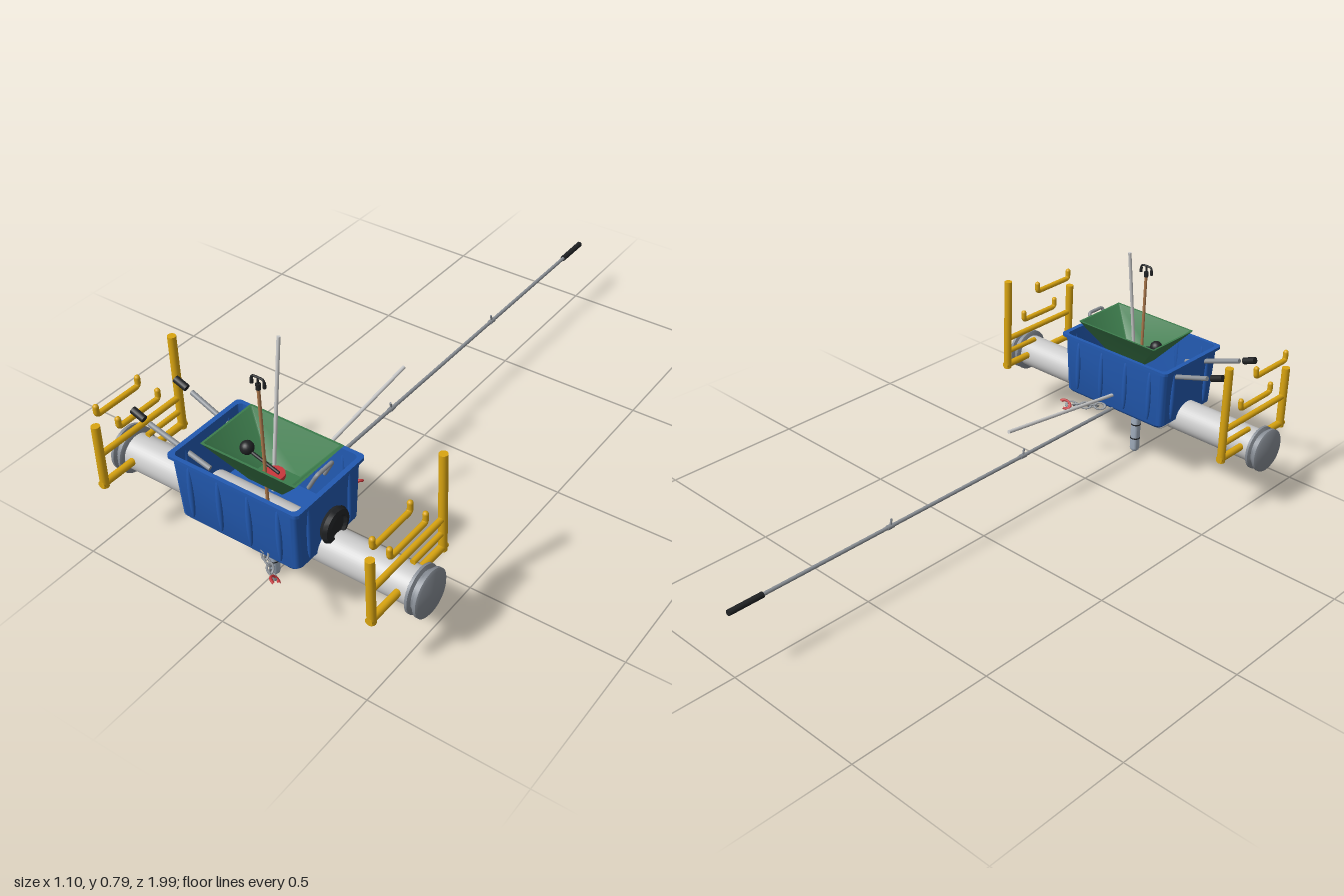
import * as THREE from 'three';
import { toCreasedNormals } from 'three/addons/utils/BufferGeometryUtils.js';

const V = (x, y, z) => new THREE.Vector3(x, y, z);
const mat = (color, side = THREE.FrontSide) => new THREE.MeshStandardMaterial({ color, side });
const grey = mat(0xcccccc), blue = mat(0x2259b0), green = mat(0x3c7c4c, THREE.DoubleSide);
const yellow = mat(0xdaa510), black = mat(0x202224), steel = mat(0x8b9096), paleBlue = mat(0xa5b2c2);
const red = mat(0xc8383c), copper = mat(0xa9764a), flangeGrey = mat(0x868c94);
const CZ = 0.767; // z of the main pipe axis

function add(parent, name, geo, material, x = 0, y = 0, z = 0) {
  const m = new THREE.Mesh(geo, material);
  m.name = name;
  m.position.set(x, y, z);
  parent.add(m);
  return m;
}

// Straight round bar between two points
function rod(parent, name, a, b, r, material) {
  const d = b.clone().sub(a);
  const m = add(parent, name, new THREE.CylinderGeometry(r, r, d.length(), 16), material);
  m.position.copy(a).addScaledVector(d, 0.5);
  m.quaternion.setFromUnitVectors(V(0, 1, 0), d.normalize());
  return m;
}

// Bent round bar through corner points
function bentBar(parent, name, pts, r, material, closed = false) {
  const path = new THREE.CurvePath();
  const n = pts.length, corner = 0.012;
  const toward = (a, b) => a.clone().addScaledVector(b.clone().sub(a).normalize(), corner);
  let last = closed ? toward(pts[0], pts[1]) : pts[0];
  const first = last;
  for (let i = 1; i < (closed ? n + 1 : n - 1); i++) {
    const p = pts[i % n], before = toward(p, pts[i - 1]), after = toward(p, pts[(i + 1) % n]);
    path.add(new THREE.LineCurve3(last, before));
    path.add(new THREE.QuadraticBezierCurve3(before, p, after));
    last = after;
  }
  if (!closed) path.add(new THREE.LineCurve3(last, pts[n - 1]));
  else last.copy(first);
  add(parent, name, new THREE.TubeGeometry(path, 64, r, 10, closed), material);
  if (!closed) for (const p of [pts[0], pts[n - 1]]) add(parent, name + 'End', new THREE.SphereGeometry(r, 10, 8), material, p.x, p.y, p.z);
}

// Skin over rounded rectangles, each given as [halfX, halfZ, y, cornerRadius]
function loft(rings) {
  const pos = [], idx = [], seg = 6, n = 4 * (seg + 1);
  for (const [hx, hz, y, r] of rings) {
    for (let q = 0; q < 4; q++) for (let s = 0; s <= seg; s++) {
      const t = (q + s / seg) * Math.PI / 2;
      const sx = q === 0 || q === 3 ? 1 : -1, sz = q < 2 ? 1 : -1;
      pos.push(sx * (hx - r) + r * Math.cos(t), y, sz * (hz - r) + r * Math.sin(t));
    }
  }
  for (let i = 0; i < rings.length - 1; i++) for (let j = 0; j < n; j++) {
    const k = (j + 1) % n, a = i * n + j, b = i * n + k, c = b + n, d = a + n;
    idx.push(a, d, c, a, c, b);
  }
  const g = new THREE.BufferGeometry();
  g.setAttribute('position', new THREE.Float32BufferAttribute(pos, 3));
  g.setIndex(idx);
  return toCreasedNormals(g, 0.6);
}

function lathe(points, segments = 40) {
  return toCreasedNormals(new THREE.LatheGeometry(points.map(([r, y]) => new THREE.Vector2(r, y)), segments), 0.6);
}

// Storage rack at one end of the pipe
function rack(x) {
  const g = new THREE.Group();
  g.name = 'rack';
  const P = (y, z) => V(x, y, z);
  rod(g, 'rearPost', P(0.22, 0.607), P(0.558, 0.607), 0.0135, yellow);
  rod(g, 'frontPost', P(0.22, 0.937), P(0.44, 0.937), 0.0135, yellow);
  rod(g, 'lowerRail', P(0.232, 0.95), P(0.232, 0.595), 0.012, yellow);
  rod(g, 'shortRail', P(0.284, 0.75), P(0.284, 0.6), 0.009, yellow);
  rod(g, 'upperRail', P(0.335, 0.937), P(0.335, 0.607), 0.01, yellow);
  bentBar(g, 'middleHook', [P(0.41, 0.853), P(0.382, 0.853), P(0.382, 0.69), P(0.41, 0.69)], 0.009, yellow);
  bentBar(g, 'topHook', [P(0.5, 0.925), P(0.472, 0.925), P(0.472, 0.76), P(0.5, 0.76)], 0.009, yellow);
  return g;
}

// Chain of alternating links with an open hook at its end
function chain(from, to, links) {
  const g = new THREE.Group();
  g.name = 'chain';
  const d = to.clone().sub(from), step = d.length() / links;
  g.position.copy(from);
  g.quaternion.setFromUnitVectors(V(1, 0, 0), d.normalize());
  for (let i = 0; i < links; i++) {
    const link = add(g, 'chainLink', new THREE.TorusGeometry(0.0115, 0.003, 8, 18), steel, (i + 0.5) * step);
    link.scale.x = 1.6;
    link.rotation.x = Math.PI / 4 + i * Math.PI / 2;
  }
  const hook = add(g, 'chainHook', new THREE.TorusGeometry(0.014, 0.0045, 8, 20, 4.6), red, links * step + 0.01);
  hook.rotation.set(Math.PI / 4, 0, 0.6);
  hook.scale.x = 1.3;
  return g;
}

export function createModel() {
  const model = new THREE.Group();
  model.name = 'pipeRig';

  // Main pipe with grooved end flanges
  rod(model, 'mainPipe', V(-0.53, 0.223, CZ), V(0.53, 0.223, CZ), 0.057, grey).geometry = new THREE.CylinderGeometry(0.057, 0.057, 1.06, 48);
  for (const s of [-1, 1]) {
    const flange = add(model, 'endFlange', lathe([[0, 0], [0.066, 0], [0.074, 0.004], [0.074, 0.012], [0.062, 0.017],
      [0.062, 0.026], [0.074, 0.03], [0.074, 0.039], [0.066, 0.044], [0, 0.044]]), flangeGrey, s * 0.505, 0.223, CZ);
    flange.rotation.z = -s * Math.PI / 2;
    model.add(rack(s * 0.475));
  }

  // Down pipe with seams and rounded foot
  add(model, 'downPipe', lathe([[0, 0], [0.009, 0.002], [0.015, 0.008], [0.017, 0.016], [0.017, 0.17], [0, 0.17]], 24), paleBlue, 0, 0, CZ);
  for (const y of [0.055, 0.11]) add(model, 'pipeSeam', new THREE.CylinderGeometry(0.0178, 0.0178, 0.004, 24), black, 0, y, CZ);
  add(model, 'downPipeCollar', new THREE.CylinderGeometry(0.019, 0.019, 0.008, 24), steel, 0, 0.16, CZ);

  // Open bin with lip and vertical ribs
  const bin = new THREE.Group();
  bin.name = 'bin';
  bin.position.z = CZ;
  model.add(bin);
  add(bin, 'binShell', loft([[0, 0, 0.222, 0], [0.2, 0.133, 0.222, 0.02], [0.21, 0.14, 0.232, 0.025], [0.218, 0.146, 0.428, 0.02],
    [0.228, 0.153, 0.431, 0.015], [0.228, 0.153, 0.441, 0.015], [0.212, 0.14, 0.441, 0.015], [0.203, 0.133, 0.235, 0.02], [0, 0, 0.235, 0]]), blue);
  const rib = new THREE.SphereGeometry(1, 16, 16);
  for (const s of [-1, 1]) {
    for (const x of [-0.155, -0.052, 0.052, 0.155]) add(bin, 'binRib', rib, blue, x, 0.335, s * 0.143).scale.set(0.01, 0.092, 0.009);
    for (const z of [-0.09, 0.09]) add(bin, 'binRib', rib, blue, s * 0.214, 0.335, z).scale.set(0.009, 0.092, 0.01);
  }

  // Black wheel on the bin side
  const wheel = add(model, 'sideWheel', lathe([[0, -0.016], [0.036, -0.016], [0.05, -0.012], [0.056, 0], [0.05, 0.012],
    [0.036, 0.016], [0.03, 0.008], [0, 0.008]]), black, 0.23, 0.305, CZ);
  wheel.rotation.z = -Math.PI / 2;

  // Hopper with side handle and crank inside
  const hopper = new THREE.Group();
  hopper.name = 'hopper';
  hopper.position.set(0.022, 0, 0.762);
  model.add(hopper);
  add(hopper, 'hopperShell', loft([[0, 0, 0.365, 0], [0.062, 0.042, 0.365, 0.004], [0.16, 0.104, 0.48, 0.004],
    [0.164, 0.107, 0.485, 0.004], [0.157, 0.1, 0.485, 0.004], [0.06, 0.04, 0.37, 0.004], [0, 0, 0.37, 0]]), green);
  bentBar(hopper, 'hopperHandle', [V(0.15, 0.43, -0.035), V(0.18, 0.486, -0.035), V(0.18, 0.486, 0.035), V(0.15, 0.43, 0.035)], 0.006, steel);
  add(hopper, 'valveDisc', new THREE.CylinderGeometry(0.033, 0.033, 0.012, 28), red, 0, 0.38, 0.003);
  rod(hopper, 'crankArm', V(0.02, 0.395, 0.003), V(-0.09, 0.43, 0.003), 0.005, black);
  add(hopper, 'crankKnob', new THREE.SphereGeometry(0.021, 18, 14), black, -0.09, 0.435, 0.003);

  // Upright stem with its forked handle
  rod(model, 'stem', V(0, 0.24, 0.774), V(0, 0.675, 0.774), 0.005, copper);
  rod(model, 'stemCap', V(0, 0.67, 0.774), V(0, 0.688, 0.774), 0.0075, black);
  rod(model, 'stemNeck', V(0, 0.685, 0.774), V(0, 0.71, 0.774), 0.003, black);
  bentBar(model, 'forkHandle', [V(-0.022, 0.685, 0.774), V(-0.022, 0.709, 0.774), V(0.022, 0.709, 0.774), V(0.022, 0.685, 0.774)], 0.0035, black);
  for (const s of [-1, 1]) rod(model, 'forkGrip', V(s * 0.022, 0.682, 0.774), V(s * 0.022, 0.698, 0.774), 0.005, black);
  rod(model, 'leaningRod', V(0, 0.3, 0.747), V(0, 0.785, 0.68), 0.0055, grey);

  // Long rear pole with grip and pegs, and the raised rod above it
  rod(model, 'pole', V(0, 0.225, 0.72), V(0, 0.225, -0.9), 0.006, steel);
  rod(model, 'poleGrip', V(0, 0.225, -0.88), V(0, 0.225, -1), 0.0095, black);
  for (const z of [0.18, -0.4]) {
    rod(model, 'polePeg', V(0, 0.225, z), V(0, 0.25, z + 0.006), 0.0035, steel);
    rod(model, 'poleCollar', V(0, 0.225, z - 0.012), V(0, 0.225, z + 0.012), 0.008, steel);
  }
  rod(model, 'raisedRod', V(0, 0.275, 0.65), V(0, 0.342, 0.112), 0.006, grey);

  // Side levers with separate grips
  for (const [z0, z1] of [[0.69, 0.676], [0.842, 0.852]]) {
    rod(model, 'lever', V(-0.14, 0.379, z0), V(-0.348, 0.45, z1), 0.008, steel);
    rod(model, 'leverGrip', V(-0.366, 0.457, z1), V(-0.408, 0.473, z1), 0.0115, black);
  }

  // Tubular loop around the pipe under the bin
  bentBar(model, 'underFrame', [V(-0.172, 0.2, 0.68), V(-0.008, 0.2, 0.68), V(-0.008, 0.2, 0.853), V(-0.172, 0.2, 0.853)], 0.009, grey, true);
  for (const z of [0.68, 0.853]) for (const x of [-0.165, -0.09, -0.015]) rod(model, 'underFramePost', V(x, 0.2, z), V(x, 0.228, z), 0.006, grey);

  // Chains front and back
  model.add(chain(V(0.065, 0.235, 0.885), V(0.175, 0.235, 0.965), 5));
  model.add(chain(V(0.02, 0.235, 0.605), V(0.115, 0.235, 0.53), 5));
  return model;
}
